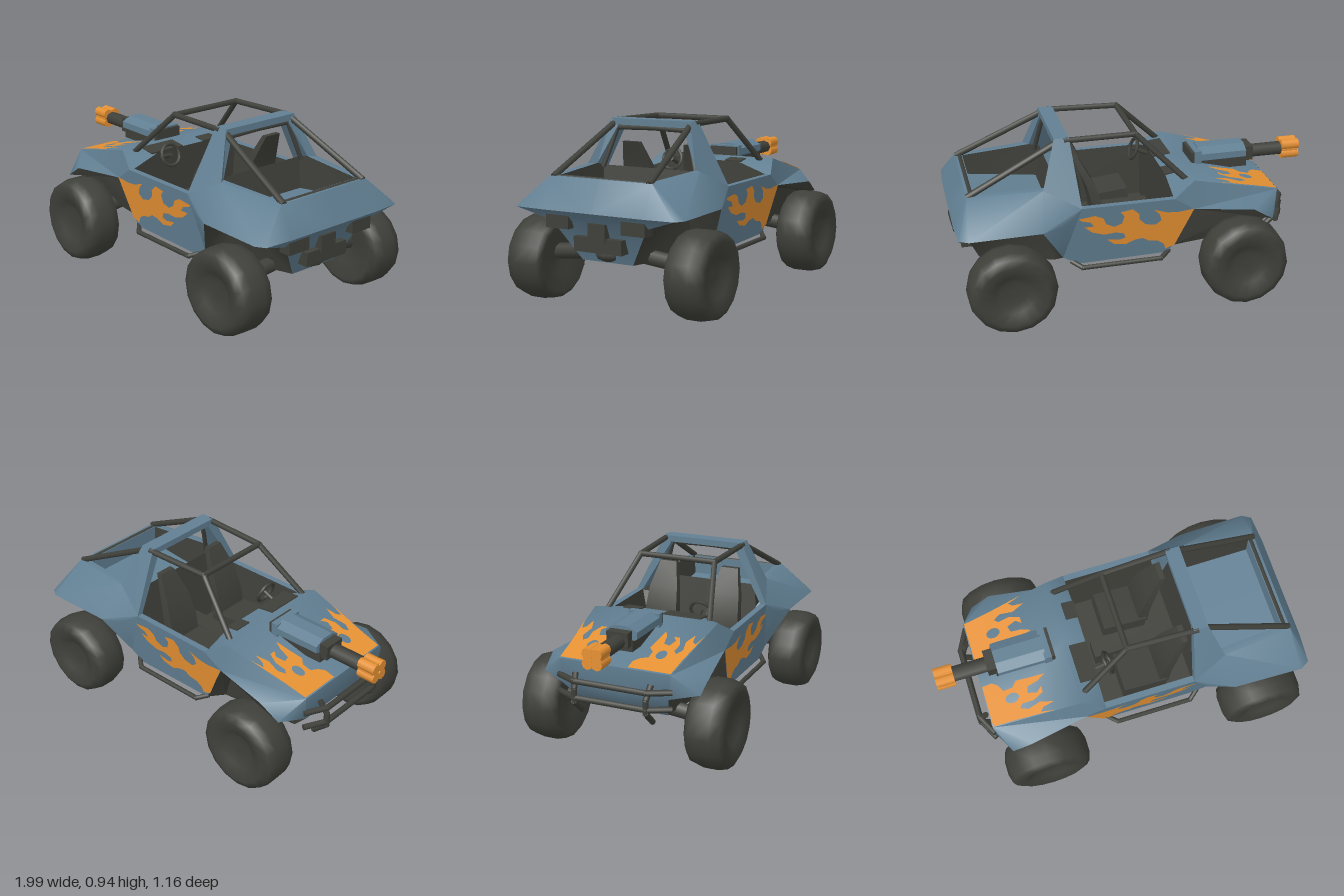
import * as THREE from 'three';
import { toCreasedNormals } from 'three/addons/utils/BufferGeometryUtils.js';

const paint = (name, color) => {
  const m = new THREE.MeshStandardMaterial({ color, side: THREE.DoubleSide });
  m.name = name;
  return m;
};

export function createModel() {
  const blue = paint('blueGrey', 0x617f92);
  const dark = paint('darkGrey', 0x3f403a);
  const orange = paint('orange', 0xe69133);
  const model = new THREE.Group();
  const half = new THREE.Group(); // left half, mirrored at the end
  half.name = 'leftHalf';

  const add = (parent, name, geo, mat, pos = [0, 0, 0], rot = [0, 0, 0]) => {
    const mesh = new THREE.Mesh(geo, mat);
    mesh.name = name;
    mesh.position.set(...pos);
    mesh.rotation.set(...rot);
    parent.add(mesh);
    return mesh;
  };
  // polygons as fans of corner points, each turned to face away from the body's middle line
  const panels = (parent, name, mat, polys) => {
    const v = [];
    for (const poly of polys) {
      const p = poly.map(a => new THREE.Vector3(...a));
      for (let i = 1; i < p.length - 1; i++) {
        const t = new THREE.Triangle(p[0], p[i], p[i + 1]);
        const out = t.getMidpoint(new THREE.Vector3());
        out.sub(new THREE.Vector3(out.x * 0.75, 0.45, 0));
        const flip = t.getNormal(new THREE.Vector3()).dot(out) < 0;
        for (const c of flip ? [t.a, t.c, t.b] : [t.a, t.b, t.c]) v.push(c.x, c.y, c.z);
      }
    }
    const g = new THREE.BufferGeometry();
    g.setAttribute('position', new THREE.Float32BufferAttribute(v, 3));
    return add(parent, name, toCreasedNormals(g, 0.9), mat);
  };
  // straight tubes along a list of points
  const bars = (parent, name, pts, r) => {
    const p = pts.map(a => new THREE.Vector3(...a));
    for (let i = 0; i < p.length - 1; i++) {
      const d = p[i + 1].clone().sub(p[i]);
      const mesh = add(parent, name, new THREE.CylinderGeometry(r, r, d.length() + r, 8), dark);
      mesh.position.copy(p[i]).addScaledVector(d, 0.5);
      mesh.quaternion.setFromUnitVectors(new THREE.Vector3(0, 1, 0), d.normalize());
    }
  };
  const box = (parent, name, mat, size, pos, rot) =>
    add(parent, name, new THREE.BoxGeometry(...size), mat, pos, rot);
  const mid = p => [p[0], p[1], 0]; // same point on the centre line
  const doorZ = y => 0.405 - 0.12 * (0.61 - y); // the doors lean inward below
  const onDoor = (x, y) => [x, y, doorZ(y)];

  // key corners of the shell
  const hoodFront = [-0.78, 0.56, 0.31], hoodBack = [-0.29, 0.685, 0.36], nose = [-0.78, 0.43, 0.30], chin = [-0.66, 0.29, 0.24];
  const f1 = [-0.71, 0.45, 0.44], f2 = [-0.6, 0.52, 0.45], f3 = onDoor(-0.28, 0.535), cowl = [-0.17, 0.67, 0.2];
  const doorFront = onDoor(-0.17, 0.61), doorLow = onDoor(-0.15, 0.28), sillBack = onDoor(0.35, 0.27), arch = onDoor(0.43, 0.32);
  const p1 = onDoor(0.33, 0.61), p2 = [0.36, 0.945, 0.24], p3 = [0.44, 0.945, 0.24], belt = [0.42, 0.55, 0.44];
  const h1 = [0.52, 0.705, 0.34], h2 = [0.91, 0.69, 0.30], g1 = [0.55, 0.53, 0.48], g2 = [0.93, 0.53, 0.49], g3 = [0.98, 0.53, 0.46];
  const p1i = [0.33, 0.61, 0.37], p2i = [0.36, 0.905, 0.2], p3i = [0.44, 0.905, 0.2], h1i = [0.49, 0.705, 0.3], h2i = [0.87, 0.69, 0.265];
  const wellF = [-0.7, 0.45, 0.28], wellB = [-0.28, 0.52, 0.28], wellLow = [-0.2, 0.265, 0.27];
  const rearF = [0.55, 0.52, 0.28], rearB = [0.93, 0.47, 0.28], rearLow = [0.46, 0.265, 0.28], tail = [0.85, 0.265, 0.15];
  const lip = [0.99, 0.53, 0.3], bedF = [0.46, 0.52, 0.28], bedB = [0.87, 0.58, 0.26], inner = [-0.17, 0.61, 0.37];

  panels(half, 'hood', blue, [
    [hoodFront, hoodBack, mid(hoodBack), mid(hoodFront)],
    [hoodBack, doorFront, inner, cowl, [-0.29, 0.685, 0.2]],
    [[-0.29, 0.685, 0.2], cowl, mid(cowl), mid(hoodBack)],
    [hoodFront, hoodBack, f3, f2, f1], [hoodFront, f1, nose], [hoodBack, doorFront, f3],
    [hoodFront, nose, mid(nose), mid(hoodFront)], [nose, chin, mid(chin), mid(nose)],
  ]);
  panels(half, 'door', blue, [[f3, doorFront, p1, arch, sillBack, doorLow], [doorFront, p1, p1i, inner]]);
  panels(half, 'roofPillar', blue, [
    [p1, p2, p3, h1], [p1i, p2i, p3i, h1i], [p1, p2, p2i, p1i], [p3, h1, h1i, p3i],
  ]);
  panels(half, 'rearFender', blue, [
    [p1, h1, g1, belt], [p1, belt, arch], [belt, g1, arch],
    [h1, h2, g2, g1], [h2, g3, g2], [h1, h2, h2i, h1i],
    [h2, mid(h2), mid(h2i), h2i], [h2, g3, lip], [h2, lip, mid(lip), mid(h2)],
    [g3, lip, rearB], [lip, rearB, mid(rearB), mid(lip)], [rearB, tail, mid(tail), mid(rearB)],
  ]);
  panels(half, 'underside', blue, [
    [chin, wellLow, mid(wellLow), mid(chin)],
    [mid(wellLow), wellLow, doorLow, sillBack, arch, rearLow, mid(rearLow)],
    [rearLow, tail, mid(tail), mid(rearLow)],
  ]);
  panels(half, 'wheelArch', dark, [
    [f1, f2, f3, wellB, wellF], [wellF, wellB, wellLow, chin], [f3, doorLow, wellLow, wellB], [nose, f1, wellF, chin],
    [g1, g2, rearB, rearF], [rearF, rearB, tail, rearLow], [arch, g1, rearF, rearLow], [g2, g3, rearB],
  ]);
  panels(half, 'cargoBedFloor', blue, [[bedF, bedB, mid(bedB), mid(bedF)], [bedB, h2i, mid(h2i), mid(bedB)]]);
  panels(half, 'cargoBedWall', dark, [[h1i, h2i, bedB, bedF], [bedF, h1i, [0.43, 0.69, 0.3], [0.43, 0.69, 0], mid(bedF)]]);
  panels(half, 'cockpitTub', dark, [
    [inner, p1i, [0.37, 0.31, 0.34], [-0.17, 0.31, 0.34]],
    [[-0.17, 0.31, 0.34], [0.37, 0.31, 0.34], [0.37, 0.31, 0], [-0.17, 0.31, 0]],
    [[0.37, 0.31, 0.34], [0.43, 0.69, 0.3], [0.43, 0.69, 0], [0.37, 0.31, 0]],
    [[-0.17, 0.31, 0.34], inner, cowl, mid(cowl), [-0.17, 0.31, 0]],
  ]);

  // flames: thin painted shapes laid on the door and the hood
  const flame = (name, shape, place) => {
    const g = new THREE.ShapeGeometry(shape, 6);
    const p = g.attributes.position;
    for (let i = 0; i < p.count; i++) p.setXYZ(i, ...place(p.getX(i), p.getY(i)));
    g.computeVertexNormals();
    add(half, name, g, orange);
  };
  const shape = pts => new THREE.Shape(pts.map(p => new THREE.Vector2(...p)));
  const doorFlame = shape([[-0.28, 0.54], [-0.19, 0.53], [-0.13, 0.535], [-0.056, 0.56], [-0.088, 0.53], [-0.1, 0.49], [-0.067, 0.465],
    [-0.013, 0.476], [0.02, 0.508], [0.024, 0.545], [0.06, 0.578], [0.126, 0.567], [0.104, 0.54], [0.115, 0.497], [0.158, 0.481],
    [0.2, 0.503], [0.217, 0.54], [0.26, 0.561], [0.35, 0.551], [0.33, 0.535], [0.286, 0.524], [0.265, 0.497], [0.318, 0.497],
    [0.275, 0.46], [0.21, 0.439], [0.147, 0.444], [0.104, 0.433], [0.094, 0.406], [0.126, 0.396], [0.195, 0.406], [0.158, 0.374],
    [0.094, 0.362], [0.04, 0.385], [0, 0.39], [-0.035, 0.369], [-0.088, 0.36], [-0.12, 0.337], [-0.13, 0.305], [-0.18, 0.322]]);
  flame('doorFlame', doorFlame, (x, y) => [x, y, doorZ(y) + 0.004]);
  const hoodFlame = shape([[-0.775, 0.075], [-0.72, 0.075], [-0.69, 0.1], [-0.67, 0.14], [-0.62, 0.14], [-0.59, 0.11], [-0.52, 0.12],
    [-0.43, 0.13], [-0.48, 0.155], [-0.54, 0.165], [-0.55, 0.2], [-0.5, 0.215], [-0.47, 0.19], [-0.47, 0.225], [-0.53, 0.25],
    [-0.59, 0.245], [-0.61, 0.265], [-0.57, 0.285], [-0.5, 0.27], [-0.43, 0.295], [-0.49, 0.305], [-0.51, 0.325],
    [-0.43, 0.345], [-0.55, 0.33], [-0.65, 0.318], [-0.775, 0.308]]);
  hoodFlame.holes.push(new THREE.Path().absellipse(-0.635, 0.195, 0.038, 0.028, 0, Math.PI * 2, true));
  flame('hoodFlame', hoodFlame, (x, z) => [x, 0.565 + 0.255 * (x + 0.78), z]);

  // wheels with dished hubs, and their axles
  const tyre = [[0, -0.07], [0.1, -0.08], [0.19, -0.11], [0.222, -0.09], [0.236, -0.04], [0.236, 0.04], [0.222, 0.09],
    [0.18, 0.11], [0.11, 0.085], [0.07, 0.06], [0, 0.065]].map(p => new THREE.Vector2(...p));
  for (const [x, y, name] of [[-0.54, 0.24, 'frontWheel'], [0.72, 0.23, 'rearWheel']]) {
    const wheel = add(half, name, new THREE.LatheGeometry(tyre, 16), dark, [x, y, 0.468], [Math.PI / 2, 0, 0]);
    wheel.scale.z = y / 0.24;
    bars(half, 'axle', [[x, 0.29, 0.13], [x, 0.26, 0.4]], 0.042);
  }

  // roll cage, side step and bumper tubes
  bars(half, 'windscreenPost', [[-0.26, 0.67, 0.3], [0, 0.925, 0.22], [0.38, 0.93, 0.235]], 0.016);
  bars(half, 'rearBrace', [[0.43, 0.918, 0.23], [0.9, 0.69, 0.28]], 0.017);
  bars(half, 'hoopTube', [[0.42, 0.9, 0], [0.42, 0.895, 0.215], [0.46, 0.69, 0.28]], 0.013);
  bars(half, 'sideStep', [[-0.15, 0.285, 0.36], [-0.1, 0.265, 0.4], [0.33, 0.262, 0.4], [0.38, 0.285, 0.36]], 0.013);
  for (const y of [0.47, 0.38])
    bars(half, 'bumperTube', [[-0.835, y, 0], [-0.835, y, 0.2], [-0.78, y, 0.31]], 0.016);
  bars(half, 'bumperPost', [[-0.8, 0.495, 0.21], [-0.835, 0.43, 0.2], [-0.835, 0.36, 0.2], [-0.76, 0.29, 0.2]], 0.016);
  box(half, 'tailLamp', dark, [0.07, 0.09, 0.135], [0.93, 0.482, 0.222]);

  // seats with tapered, tilted backs
  const back = new THREE.BoxGeometry(0.06, 0.42, 0.2, 1, 3, 1);
  const bp = back.attributes.position;
  for (let i = 0; i < bp.count; i++) {
    const t = bp.getY(i) / 0.42 + 0.5;
    bp.setX(i, bp.getX(i) * (1 - 0.5 * t * t) + 0.12 * t * t);
    bp.setZ(i, bp.getZ(i) * (1 - 0.5 * t * t * t));
  }
  back.computeVertexNormals();
  add(half, 'seatBack', back, dark, [0.2, 0.6, 0.19]);
  box(half, 'seatCushion', dark, [0.25, 0.1, 0.22], [0.09, 0.41, 0.19], [0, 0, -0.1]);

  const other = half.clone();
  other.name = 'rightHalf';
  other.scale.z = -1;
  model.add(half, other);

  // centre parts
  box(model, 'roofBar', blue, [0.08, 0.035, 0.48], [0.4, 0.9275, 0]);
  bars(model, 'windscreenTopBar', [[0, 0.925, -0.22], [0, 0.925, 0.22]], 0.016);
  bars(model, 'bedRearRail', [[0.885, 0.682, -0.27], [0.885, 0.682, 0.27]], 0.014);
  box(model, 'centreConsole', dark, [0.45, 0.12, 0.1], [0.1, 0.37, 0]);
  box(model, 'dashTop', dark, [0.1, 0.008, 0.22], [-0.215, 0.678, 0.14], [0, 0, -0.12]);
  box(model, 'dashSide', dark, [0.07, 0.008, 0.1], [-0.2, 0.676, -0.17], [0, 0, -0.12]);
  box(model, 'hitchBar', dark, [0.08, 0.075, 0.28], [0.9, 0.365, 0]);
  box(model, 'hitchPost', dark, [0.06, 0.09, 0.1], [0.92, 0.43, 0]);
  add(model, 'differential', new THREE.SphereGeometry(0.08, 10, 6).scale(1, 0.5, 1), dark, [0.82, 0.305, 0]);
  add(model, 'steeringWheel', new THREE.TorusGeometry(0.06, 0.01, 6, 14), dark, [-0.09, 0.67, 0.18], [0, Math.PI / 2, 0.35, 'ZYX']);
  bars(model, 'steeringColumn', [[-0.18, 0.63, 0.18], [-0.09, 0.67, 0.18]], 0.012);

  // hood gun
  const gun = new THREE.Group();
  gun.name = 'hoodGun';
  const along = [0, 0, Math.PI / 2];
  const housing = new THREE.CylinderGeometry(0.095, 0.098, 0.27, 8).rotateY(Math.PI / 8).scale(0.5, 1, 1);
  add(gun, 'gunHousing', toCreasedNormals(housing, 0.4), blue, [-0.535, 0.695, -0.01], along);
  box(gun, 'gunRear', blue, [0.04, 0.075, 0.18], [-0.39, 0.695, -0.01]);
  box(gun, 'gunRearPlate', dark, [0.02, 0.06, 0.17], [-0.362, 0.695, -0.01]);
  box(gun, 'gunMount', dark, [0.32, 0.06, 0.13], [-0.52, 0.64, -0.01]);
  box(gun, 'gunCollar', dark, [0.06, 0.08, 0.12], [-0.69, 0.68, -0.01]);
  add(gun, 'gunBarrel', new THREE.CylinderGeometry(0.044, 0.044, 0.24, 8).scale(0.85, 1, 1), dark, [-0.79, 0.67, -0.008], along);
  for (let i = 0; i < 4; i++) {
    const a = Math.PI / 4 + i * Math.PI / 2;
    add(gun, 'muzzleLobe', new THREE.CylinderGeometry(0.03, 0.03, 0.1, 8), orange,
      [-0.95, 0.67 + 0.036 * Math.sin(a), -0.005 + 0.036 * Math.cos(a)], along);
  }
  add(gun, 'muzzleCore', new THREE.CylinderGeometry(0.05, 0.05, 0.09, 8), orange, [-0.948, 0.67, -0.005], along);
  model.add(gun);
  return model;
}
